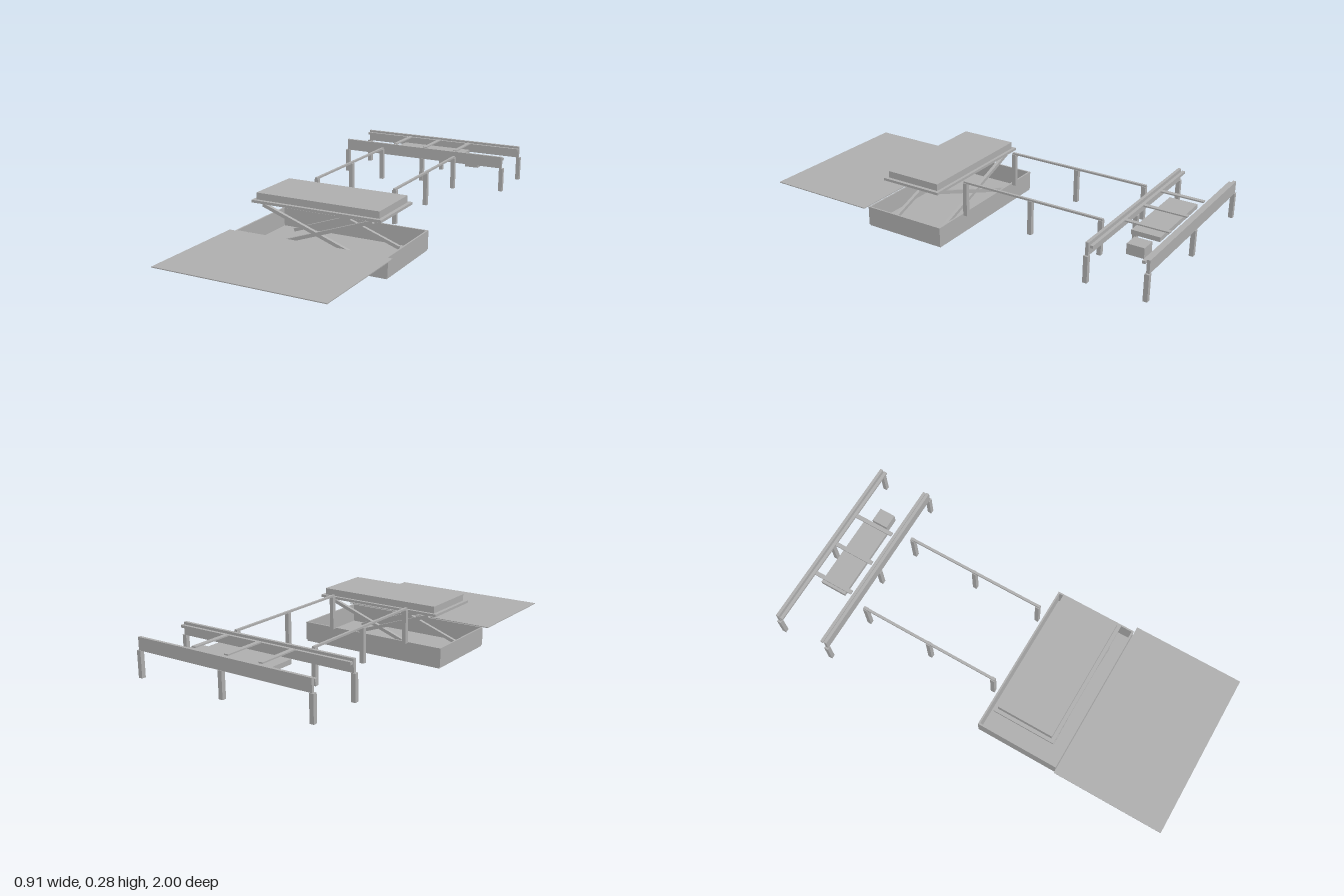
import * as THREE from 'three';

export function createModel() {
  const model = new THREE.Group();
  const grey = new THREE.MeshStandardMaterial({ color: 0xb0b0b0 });
  grey.name = 'plain grey';

  // Box given by its minimum and maximum on each axis
  function block(name, [x0, x1], [y0, y1], [z0, z1], parent = model) {
    const mesh = new THREE.Mesh(new THREE.BoxGeometry(x1 - x0, y1 - y0, z1 - z0), grey);
    mesh.position.set((x0 + x1) / 2, (y0 + y1) / 2, (z0 + z1) / 2);
    mesh.name = name;
    parent.add(mesh);
    return mesh;
  }
  function group(name) {
    const g = new THREE.Group();
    g.name = name;
    model.add(g);
    return g;
  }
  const around = (c, size) => [c - size / 2, c + size / 2];
  const ground = 0.097;

  // Open pit: floor and four thin walls
  const pit = group('pit');
  block('pitFloor', [-0.378, 0.378], [0, 0.008], [0.043, 0.451], pit);
  for (const s of [-1, 1]) {
    block('pitSideWall', around(s * 0.379, 0.008), [0.008, ground], [0.042, 0.452], pit);
    block('pitEndWall', [-0.375, 0.375], [0.008, ground], around(0.247 + s * 0.201, 0.008), pit);
  }

  // Flat apron in front of the pit
  block('apron', [-0.408, 0.408], [0.095, 0.099], [0.457, 1]);

  // Lift table on two pairs of crossed arms
  const lift = group('liftTable');
  block('tableFrame', [-0.325, 0.325], [0.223, 0.235], [0.093, 0.4], lift);
  block('tableTop', [-0.308, 0.308], [0.235, 0.267], [0.107, 0.383], lift);
  for (const z of [0.118, 0.378]) {
    for (const s of [-1, 1]) {
      const arm = block('scissorArm', around(0, 0.583), around(0.118, 0.016), around(z, 0.016), lift);
      arm.rotation.z = s * Math.atan2(0.097, 0.275);
    }
  }

  // Two guide rails, each on three posts
  for (const s of [-1, 1]) {
    const rail = group(s > 0 ? 'leftGuideRail' : 'rightGuideRail');
    const x = s * 0.205;
    block('railBar', around(x, 0.012), [0.256, 0.265], [-0.672, 0.032], rail);
    for (const z of [0.022, -0.32, -0.662]) {
      block('railPost', around(x, 0.02), [ground, 0.257], around(z, 0.02), rail);
    }
  }

  // Rear gantry: two beams on posts, with an inner track along each
  const gantry = group('gantry');
  const mid = -0.858;
  for (const s of [-1, 1]) {
    const z = mid + s * 0.132;
    block('gantryBeam', [-0.445, 0.445], [0.217, 0.275], around(z, 0.014), gantry);
    block('gantryTrack', [-0.445, 0.445], [0.254, 0.266], around(mid + s * 0.112, 0.014), gantry);
    for (const x of [-0.444, 0, 0.444]) {
      block('gantryPost', around(x, 0.02), [ground, 0.217], around(z, 0.02), gantry);
    }
  }

  // Trolley: cross bars, hanging platform and motor box
  const trolley = group('trolley');
  for (const x of [-0.173, 0, 0.173]) {
    block('crossBar', around(x, 0.02), [0.267, 0.273], around(mid, 0.2), trolley);
  }
  block('trolleyPlatform', [-0.19, 0.19], [0.222, 0.243], around(mid, 0.13), trolley);
  block('motorBox', [0.208, 0.28], [0.178, 0.226], around(mid, 0.08), trolley);

  return model;
}
